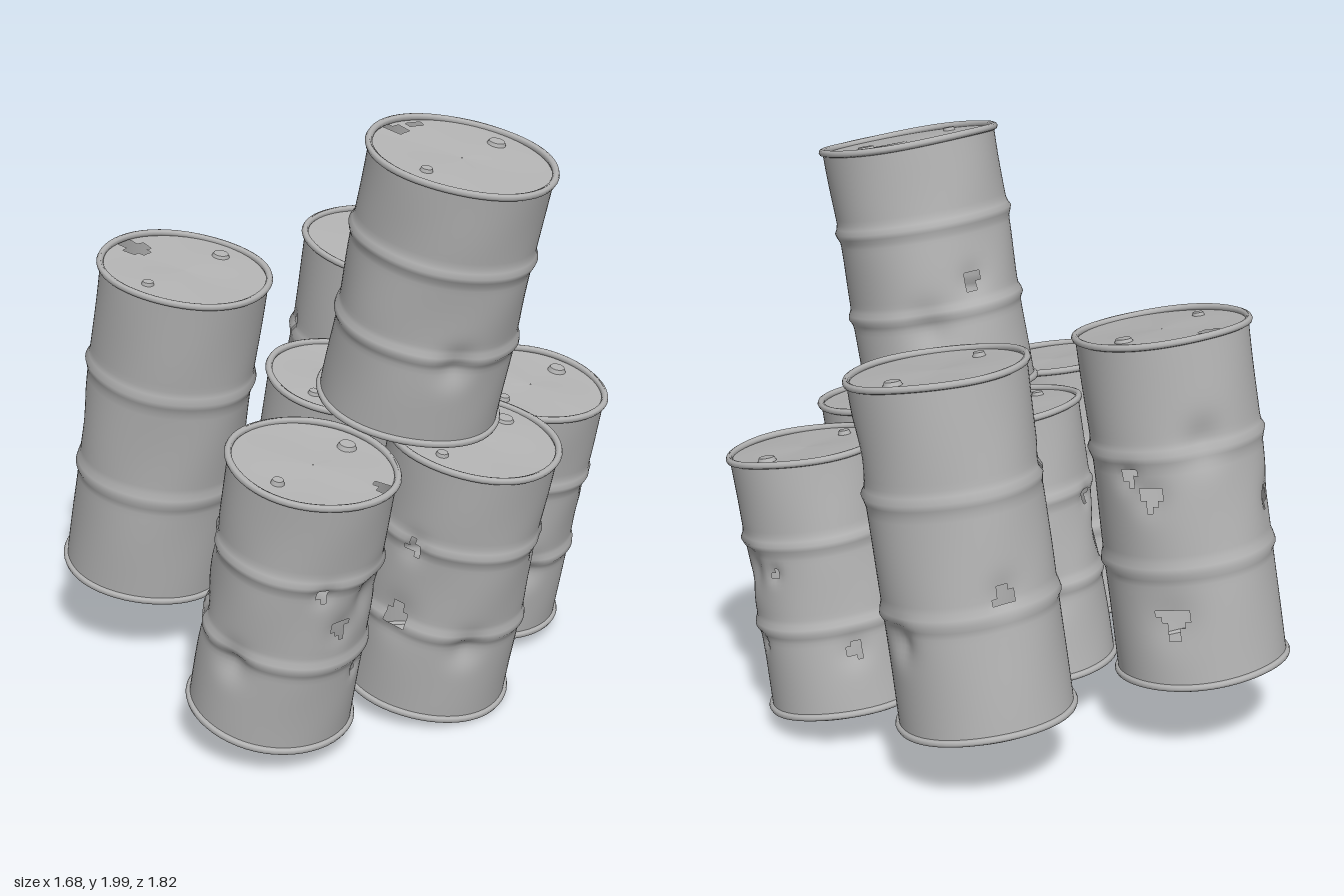
import * as THREE from 'three';

const steel = new THREE.MeshStandardMaterial({ color: 0xb2b2b2, side: THREE.DoubleSide });
steel.name = 'grey steel';

const RAD = Math.PI / 180;
const gauss = (d, w) => Math.exp(-(d * d) / (w * w));
// shortest signed angle between two directions
const angleGap = (a, b) => Math.atan2(Math.sin(a - b), Math.cos(a - b));

// Damage marks: angle in degrees from the front towards +x, height fraction, size
const mark = (angle, height, size) => ({ a: angle * RAD, h: height, s: size });
// Plate tears: angle, radius fraction, size
const tear = (angle, out, size) => ({ a: angle * RAD, out, s: size });

const shortDamage = {
  holes: [mark(22, 0.64, 0.025), mark(41, 0.49, 0.036), mark(67, 0.28, 0.016), mark(95, 0.57, 0.02),
    mark(150, 0.25, 0.035), mark(270, 0.38, 0.05), mark(273, 0.66, 0.033)],
  dents: [mark(65, 0.58, 0.05), mark(325, 0.3, 0.04)],
};
const backLeftDamage = {
  holes: [mark(24, 0.92, 0.022), mark(160, 0.4, 0.04), mark(225, 0.7, 0.025)],
  dents: [mark(40, 0.79, 0.06), mark(80, 0.28, 0.04)],
  baseTears: [tear(260, 0.75, 0.09)],
};
const backRightDamage = {
  holes: [mark(115, 0.2, 0.06), mark(110, 0.56, 0.04), mark(95, 0.62, 0.03), mark(210, 0.48, 0.04)],
  dents: [mark(150, 0.7, 0.05)],
  lidTears: [tear(180, 0.74, 0.06)],
  baseTears: [tear(215, 0.75, 0.11)],
};
const topDamage = {
  holes: [mark(165, 0.45, 0.035)],
  dents: [mark(-35, 0.32, 0.04), mark(130, 0.3, 0.05)],
  lidTears: [tear(180, 0.82, 0.035), tear(160, 0.84, 0.025)],
};

// Grid closed around the drum axis; quads for which skip(u, v) is true are torn out
function ringGrid(nu, nv, point, skip) {
  const pos = [], index = [];
  for (let j = 0; j <= nv; j++)
    for (let i = 0; i < nu; i++) pos.push(...point((i / nu) * Math.PI * 2, j / nv));
  for (let j = 0; j < nv; j++)
    for (let i = 0; i < nu; i++) {
      if (skip(((i + 0.5) / nu) * Math.PI * 2, (j + 0.5) / nv)) continue;
      const a = j * nu + i, b = j * nu + ((i + 1) % nu), c = a + nu, d = b + nu;
      index.push(a, b, d, a, d, c);
    }
  const g = new THREE.BufferGeometry();
  g.setAttribute('position', new THREE.Float32BufferAttribute(pos, 3));
  g.setIndex(index);
  g.computeVertexNormals();
  return g;
}

function add(group, geometry, name) {
  const m = new THREE.Mesh(geometry, steel);
  m.name = name;
  group.add(m);
  return m;
}

// Side wall with two rolled ribs, soft waves, dents and rust holes
function drumWall(r, len, seed, holes, dents) {
  const distance = (u, v, m) => Math.hypot(angleGap(u, m.a) * r, (v - m.h) * len);
  const point = (u, v) => {
    let q = r - 0.012;
    for (const rib of [0.345, 0.675]) q += 0.013 * gauss((v - rib) * len, 0.018);
    const wave = 0.003 * Math.sin(3 * u + seed + 7 * v) + 0.002 * Math.sin(5 * u - 11 * v + seed * 2);
    q += Math.sin(v * Math.PI) * (wave - 0.003);
    for (const m of holes) q -= 0.014 * gauss(distance(u, v, m), m.s * 1.5);
    for (const m of dents) q -= 0.028 * gauss(distance(u, v, m), m.s * 1.5);
    return [q * Math.sin(u), v * len, q * Math.cos(u)];
  };
  const torn = (u, v) => holes.some((m) => {
    const turn = Math.atan2((v - m.h) * len, angleGap(u, m.a) * r);
    return distance(u, v, m) < m.s * (0.85 + 0.25 * Math.sin(3 * turn + seed + m.a));
  });
  return ringGrid(88, 56, point, torn);
}

// Slightly wavy end plate with torn patches
function endPlate(r, seed, tears) {
  const body = r - 0.012;
  const point = (u, v) => {
    const q = body * (1 - 0.995 * v);
    return [q * Math.sin(u), 0.003 * Math.sin(2 * u + seed) * Math.sin(v * Math.PI), q * Math.cos(u)];
  };
  const torn = (u, v) => tears.some((t) => {
    const q = body * (1 - v), p = t.out * r;
    const d = Math.hypot(q * Math.sin(u) - p * Math.sin(t.a), q * Math.cos(u) - p * Math.cos(t.a));
    return d < t.s * (0.9 + 0.2 * Math.sin(u * 17 + seed));
  });
  return ringGrid(56, 12, point, torn);
}

// Rolled rim, slightly bent
function bentRim(r, seed) {
  const rim = new THREE.TorusGeometry(r - 0.011, 0.012, 8, 56);
  rim.rotateX(Math.PI / 2);
  const p = rim.attributes.position;
  for (let i = 0; i < p.count; i++) {
    const u = Math.atan2(p.getX(i), p.getZ(i));
    p.setY(i, p.getY(i) + 0.003 * Math.sin(3 * u + seed));
  }
  return rim;
}

// One drum standing at base centre (x, y, z), leaning forward by tilt and turned on its axis
function makeDrum(name, [x, y, z], r, len, tilt, turn, damage) {
  const { holes, dents, lidTears = [], baseTears = [] } = damage;
  const seed = 7 * x + 11 * z;
  const drum = new THREE.Group();
  drum.name = name;
  add(drum, drumWall(r, len, seed, holes, dents), 'drumWall');
  add(drum, endPlate(r, seed, lidTears), 'drumLid').position.y = len - 0.016;
  add(drum, endPlate(r, seed, baseTears), 'drumBase').position.y = 0.014;
  for (const h of [0.01, len - 0.01]) add(drum, bentRim(r, seed + h), 'drumRim').position.y = h;

  // filler caps on the left and right of the lid
  for (const [side, size] of [[90, 0.032], [270, 0.022]]) {
    const a = (side - turn) * RAD;
    const cap = add(drum, new THREE.CylinderGeometry(size * 0.8, size, 0.014, 20), 'fillerCap');
    cap.position.set(0.64 * r * Math.sin(a), len - 0.01, 0.64 * r * Math.cos(a));
  }

  drum.position.set(x, y, z);
  drum.rotation.set(tilt * RAD, turn * RAD, 0);
  return drum;
}

export function createModel() {
  const model = new THREE.Group();
  model.name = 'drumStack';
  const tornShort = { ...shortDamage, lidTears: [tear(70, 0.85, 0.03)], baseTears: [tear(260, 0.75, 0.1)] };
  model.add(
    makeDrum('frontCentreDrum', [0.01, 0.06, 0.45], 0.29, 0.95, 11.2, 0, shortDamage),
    makeDrum('frontRightDrum', [-0.558, 0.12, 0.225], 0.28, 0.93, 11.3, -55, tornShort),
    makeDrum('frontLeftDrum', [0.567, 0.095, 0.33], 0.272, 0.9, 11.2, 2, shortDamage),
    makeDrum('middleDrum', [0.025, 0.16, -0.075], 0.273, 0.93, 11.2, 180, shortDamage),
    makeDrum('backLeftDrum', [0.533, 0.235, -0.305], 0.3, 1.17, 10.5, 0, backLeftDamage),
    makeDrum('backRightDrum', [-0.2, 0.265, -0.615], 0.298, 1.17, 10.5, 0, backRightDamage),
    makeDrum('topDrum', [0, 1.05, 0.375], 0.308, 0.893, 12.6, 0, topDamage),
  );
  return model;
}
